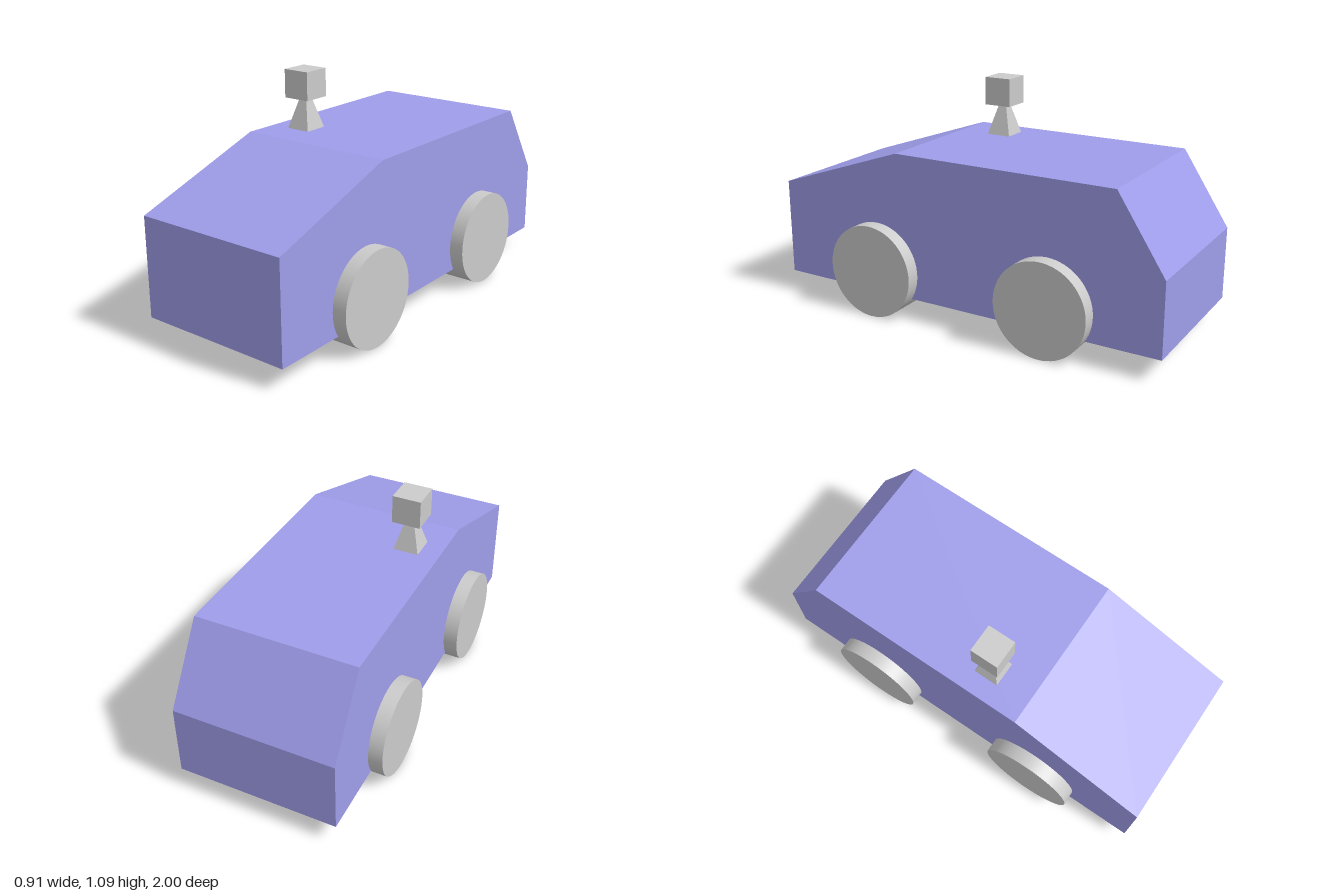
import * as THREE from 'three';

export function createModel() {
  const group = new THREE.Group();
  const paint = new THREE.MeshStandardMaterial({ color: 0x9f9dea });
  const grey = new THREE.MeshStandardMaterial({ color: 0xcccccc });
  const flatGrey = new THREE.MeshStandardMaterial({ color: 0xcccccc, flatShading: true });

  const add = (name, geometry, material, x, y, z) => {
    const mesh = new THREE.Mesh(geometry, material);
    mesh.name = name;
    mesh.position.set(x, y, z);
    group.add(mesh);
    return mesh;
  };

  // Body: side profile (z, y) extruded across the width
  const profile = [[1, 0.105], [1, 0.58], [0.335, 0.808], [-0.772, 0.808], [-1, 0.457], [-1, 0.105]];
  const width = 0.77;
  const bodyGeometry = new THREE.ExtrudeGeometry(
    new THREE.Shape(profile.map(([z, y]) => new THREE.Vector2(z, y))),
    { depth: width, bevelEnabled: false }
  );
  bodyGeometry.translate(0, 0, -width / 2).rotateY(-Math.PI / 2);
  add('body', bodyGeometry, paint, 0, 0, 0);

  // Wheels: each pair is one full-width roller
  const radius = 0.2275;
  const wheelGeometry = new THREE.CylinderGeometry(radius, radius, 0.908, 64).rotateZ(Math.PI / 2);
  for (const [name, z] of [['frontWheels', 0.455], ['rearWheels', -0.455]]) {
    add(name, wheelGeometry, grey, 0, radius, z);
  }

  // Roof sensor: square pyramid stand whose tip ends inside a cube head
  const sensorX = -0.229, sensorZ = 0.114;
  const standGeometry = new THREE.ConeGeometry(0.121 / Math.SQRT2, 0.216, 4).rotateY(Math.PI / 4);
  add('sensorStand', standGeometry, flatGrey, sensorX, 0.808 + 0.108, sensorZ);
  add('sensorHead', new THREE.BoxGeometry(0.136, 0.136, 0.136), flatGrey, sensorX, 1.025, sensorZ);

  return group;
}
